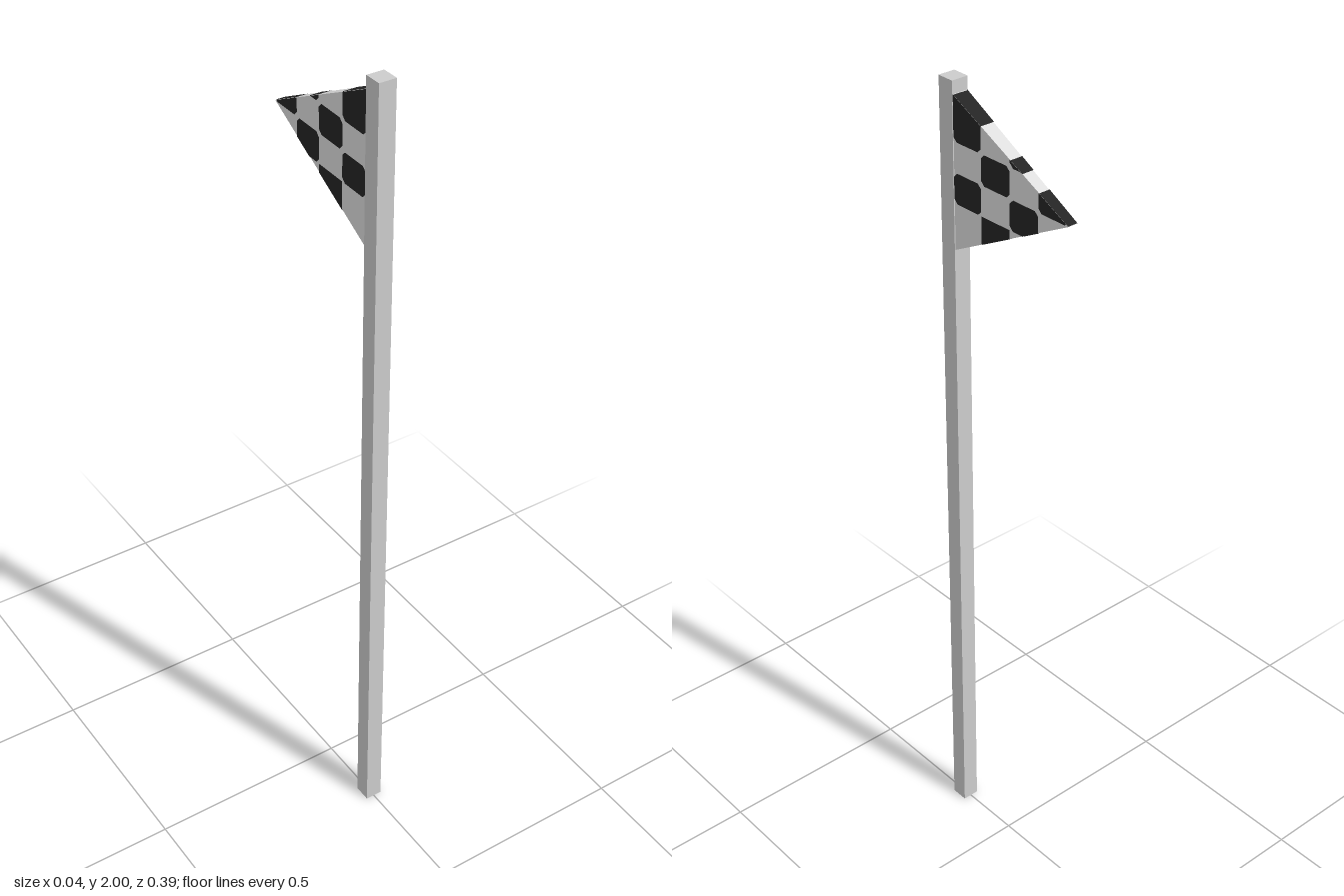
import * as THREE from 'three';

// Pennant outline, in (z, y)
const BASE = 0.153, TIP = -0.196, TOP = 1.97, BOTTOM = 1.615, TIP_Y = 1.797;
const LIFT = 0.0008;
const along = z => (BASE - z) / (BASE - TIP);
const topAt = z => TOP + (TIP_Y - TOP) * along(z);
const bottomAt = z => BOTTOM + (TIP_Y - BOTTOM) * along(z);
const halfWidth = z => 0.0187 - 0.007 * along(z);

// Keeps the part of a polygon where f >= 0 (f is linear)
function clip(poly, f) {
  const out = [];
  poly.forEach((p, i) => {
    const q = poly[(i + 1) % poly.length], a = f(p), b = f(q);
    if (a >= 0) out.push(p);
    if ((a >= 0) !== (b >= 0)) {
      const t = a / (a - b);
      out.push([p[0] + (q[0] - p[0]) * t, p[1] + (q[1] - p[1]) * t]);
    }
  });
  return out;
}

// Flat convex polygon as a triangle fan
function fan(points) {
  const pos = [];
  for (let i = 1; i < points.length - 1; i++) pos.push(...points[0], ...points[i], ...points[i + 1]);
  const g = new THREE.BufferGeometry();
  g.setAttribute('position', new THREE.Float32BufferAttribute(pos, 3));
  g.computeVertexNormals();
  return g;
}

export function createModel() {
  const group = new THREE.Group();
  const material = (name, color, side = THREE.FrontSide) => {
    const m = new THREE.MeshStandardMaterial({ color, side });
    m.name = name;
    return m;
  };
  const poleGrey = material('poleGrey', 0xcccccc);
  const flagWhite = material('flagWhite', 0xdedede);
  const checkBlack = material('checkBlack', 0x252525, THREE.DoubleSide);
  const add = (name, geometry, mat) => {
    const mesh = new THREE.Mesh(geometry, mat);
    mesh.name = name;
    group.add(mesh);
    return mesh;
  };

  // Square pole
  add('pole', new THREE.BoxGeometry(0.042, 2, 0.043), poleGrey).position.set(0, 1, 0.1745);

  // Pennant body: triangle extruded across x, thinner towards the tip
  const outline = new THREE.Shape([[BASE, TOP], [BASE, BOTTOM], [TIP, TIP_Y]].map(p => new THREE.Vector2(...p)));
  const body = new THREE.ExtrudeGeometry(outline, { depth: 1, bevelEnabled: false });
  const pos = body.attributes.position;
  for (let i = 0; i < pos.count; i++) {
    const z = pos.getX(i);
    pos.setXYZ(i, (0.5 - pos.getZ(i)) * 2 * halfWidth(z), pos.getY(i), z);
  }
  body.computeVertexNormals();
  add('pennant', body, flagWhite);

  // Checks on both sides: alternating cells with clipped corners
  const cols = [BASE, 0.067, -0.022, -0.108, TIP];
  const rows = [2.0, 1.867, 1.797, 1.726, 1.6];
  const cut = 0.01;
  for (let c = 0; c < 4; c++) for (let r = 0; r < 4; r++) {
    if ((c + r) % 2) continue;
    const [z1, z0, y1, y0] = [cols[c], cols[c + 1], rows[r], rows[r + 1]];
    const k = r === 3 ? 0 : cut;
    let cell = [[z0 + k, y0], [z1 - k, y0], [z1, y0 + k], [z1, y1 - k],
      [z1 - k, y1], [z0 + k, y1], [z0, y1 - k], [z0, y0 + k]];
    cell = clip(cell, p => topAt(p[0]) - p[1]);
    cell = clip(cell, p => p[1] - bottomAt(p[0]));
    if (cell.length < 3) continue;
    for (const s of [1, -1]) {
      add('sideCheck', fan(cell.map(([z, y]) => [s * (halfWidth(z) + LIFT), y, z])), checkBlack);
    }
  }

  // The same checks carried over the two sloping edges
  const edge = (name, yAt, lift, spans) => spans.forEach(([a, b]) => {
    const corner = (s, z) => [s * (halfWidth(z) + LIFT), yAt(z) + lift, z];
    add(name, fan([corner(-1, a), corner(1, a), corner(1, b), corner(-1, b)]), checkBlack);
  });
  edge('topEdgeCheck', topAt, LIFT, [[0.151, 0.066], [-0.024, -0.06], [-0.11, TIP]]);
  edge('bottomEdgeCheck', bottomAt, -LIFT, [[0.067, -0.022], [-0.06, -0.108]]);

  return group;
}
